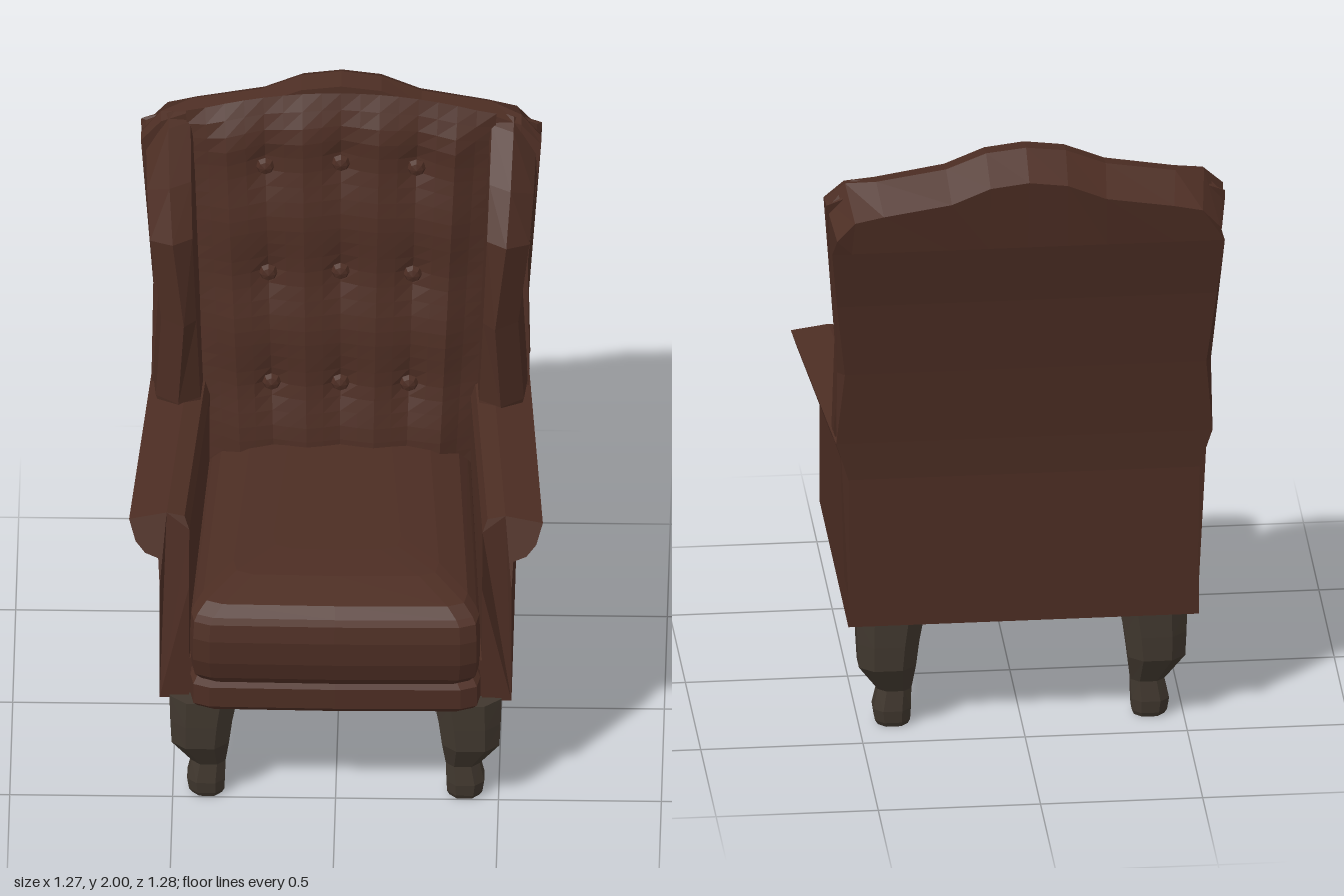
import * as THREE from 'three';

const leather = new THREE.MeshStandardMaterial({ color: 0x4c2d23, flatShading: true });
leather.name = 'brown leather';
const wood = new THREE.MeshStandardMaterial({ color: 0x40372e, flatShading: true });
wood.name = 'dark wood';

// Linear interpolation in a table of [key, value] rows
function lookup(table, k) {
  if (k <= table[0][0]) return table[0][1];
  for (let i = 1; i < table.length; i++) {
    const [a, va] = table[i - 1], [b, vb] = table[i];
    if (k <= b) return va + (vb - va) * (k - a) / (b - a);
  }
  return table[table.length - 1][1];
}

// Closed skin through equal-length rings of [x, y, z], turned outwards by its volume
function loft(rings) {
  const n = rings[0].length, pos = [], tri = (a, b, c) => pos.push(...a, ...b, ...c);
  for (let i = 0; i + 1 < rings.length; i++)
    for (let j = 0; j < n; j++) {
      const k = (j + 1) % n, A = rings[i], B = rings[i + 1];
      tri(A[j], A[k], B[k]);
      tri(A[j], B[k], B[j]);
    }
  const cap = (ring, flip) => {
    const c = [0, 1, 2].map(d => ring.reduce((s, p) => s + p[d], 0) / n);
    for (let j = 0; j < n; j++) {
      const a = ring[j], b = ring[(j + 1) % n];
      flip ? tri(c, b, a) : tri(c, a, b);
    }
  };
  cap(rings[0], true);
  cap(rings[rings.length - 1], false);
  let vol = 0;
  const v = i => new THREE.Vector3().fromArray(pos, i);
  for (let i = 0; i < pos.length; i += 9) vol += v(i).dot(v(i + 3).cross(v(i + 6)));
  if (vol < 0)
    for (let i = 0; i < pos.length; i += 9)
      for (let d = 0; d < 3; d++) [pos[i + 3 + d], pos[i + 6 + d]] = [pos[i + 6 + d], pos[i + 3 + d]];
  const g = new THREE.BufferGeometry();
  g.setAttribute('position', new THREE.Float32BufferAttribute(pos, 3));
  g.computeVertexNormals();
  return g;
}

// Half width of the back by height, and its leaning front plane
const WIDTH = [[0.37, 0.535], [0.86, 0.535], [0.92, 0.57], [1, 0.58], [1.25, 0.557], [1.6, 0.597], [1.82, 0.615]];
const frontZ = y => -0.29 - 0.155 * (y - 0.8);

function backGeometry() {
  const top = [[0, 2], [0.2, 1.985], [0.4, 1.935], [0.75, 1.9], [0.9, 1.88], [1, 1.82]];
  const crest = [[0, -0.53], [0.75, -0.52], [1, -0.45]];
  const front = [[0, -0.46], [0.75, -0.46], [1, -0.42]];
  const us = [-1, -0.9, -0.75, -0.4, -0.2, 0, 0.2, 0.4, 0.75, 0.9, 1];
  return loft(us.map(u => {
    const a = Math.abs(u), t = lookup(top, a);
    const profile = [[0.37, -0.45], [0.87, -0.46], [1, -0.475], [1.25, -0.515], [1.5, -0.56], [1.7, -0.61],
      [t - 0.07, -0.625 - 0.015 * (1 - a * a)], [t, lookup(crest, a)], [t - 0.01, lookup(front, a)],
      [1.4, frontZ(1.4)], [1, frontZ(1)], [0.37, -0.29]];
    return profile.map(([y, z], i) => [u * lookup(WIDTH, y) * (i === 6 ? 0.97 : 1), y, z]);
  }));
}

// Wing: five-sided section swept up the curved front edge
function wingGeometry(s) {
  const levels = [[0.85, -0.17], [1, -0.17], [1.3, -0.15], [1.6, -0.155], [1.74, -0.26], [1.86, -0.41], [1.885, -0.46]];
  return loft(levels.map(([y, zf]) => {
    const w = lookup(WIDTH, y), inner = 0.42 + 0.04 * (y - 0.8), zb = frontZ(y) - 0.06;
    const low = y - lookup([[1.5, 0], [1.88, 0.06]], y);
    return [[s * w, low, zb], [s * (w - 0.015), low, Math.max(zf - 0.05, zb + 0.01)], [s * (w - 0.085), y, zf],
      [s * inner, y, Math.max(zf - 0.04, zb + 0.01)], [s * (inner - 0.01), y, zb]];
  }));
}

// Tufted panel: creases meet at the buttons, puffs swell between them
const arch = (x, y) => y + 0.07 * Math.max(0, (y - 1) / 0.9) * (1 - Math.min(1, (x / 0.42) ** 2));
const spread = y => 0.93 + 0.14 * (y - 0.8);
function tuftGeometry() {
  const cols = 16, rows = 28;
  const g = new THREE.PlaneGeometry(0.86, 1.26, cols, rows);
  const p = g.attributes.position;
  for (let i = 0; i < p.count; i++) {
    const u = p.getX(i) / 0.86 * 0.88, y = p.getY(i) + 1.27;
    const sx = Math.abs(Math.sin(Math.PI * u / 0.22)), sy = Math.abs(Math.sin(Math.PI * (y - 1) / 0.35));
    const fade = Math.min(1, (0.44 - Math.abs(u)) / 0.11, (1.9 - y) / 0.12);
    const puff = 0.055 * Math.sqrt(0.6 * sx * sx + 0.4 * sy * sy) * fade;
    p.setXYZ(i, u * spread(y), arch(u, y), frontZ(y) + 0.008 + puff);
  }
  g.computeVertexNormals();
  return g;
}

// Arm: rolled section extruded to the front, with a raked upper end and a narrower rear
function armGeometry(s) {
  const section = [[0.45, 0.37], [0.54, 0.37], [0.54, 0.78], [0.545, 0.865], [0.585, 0.88], [0.615, 0.915],
    [0.635, 0.98], [0.52, 1], [0.465, 0.99], [0.45, 0.95], [0.45, 0.78]];
  const shape = new THREE.Shape(section.map(([x, y]) => new THREE.Vector2(x, y)));
  const p = new THREE.ExtrudeGeometry(shape, { depth: 1, bevelEnabled: false }).toNonIndexed().attributes.position;
  const pos = [];
  for (let i = 0; i < p.count; i++) {
    // Mirroring swaps two corners of each triangle
    const j = s < 0 ? i - (i % 3) + [0, 2, 1][i % 3] : i;
    const x = p.getX(j), y = p.getY(j), t = p.getZ(j);
    const end = 0.5 - Math.max(0, y - 0.78) * 0.38;
    const narrow = y > 0.87 || x < 0.5 ? 0.06 * (1 - t) : 0;
    pos.push(s * (x - narrow), y, -0.45 + t * (end + 0.45));
  }
  const g = new THREE.BufferGeometry();
  g.setAttribute('position', new THREE.Float32BufferAttribute(pos, 3));
  g.computeVertexNormals();
  return g;
}

// Horizontal outline with cut front corners, used by cushion and rail
const outline = (y, side, front, zMax) => [
  [-0.4 + side, y, -0.35], [0.4 - side, y, -0.35], [0.445 - side, y, zMax - 0.08 - front],
  [0.435 - side, y, zMax - 0.025 - front], [0.385 - side, y, zMax - 0.005 - front], [0, y, zMax - front],
  [-0.385 + side, y, zMax - 0.005 - front], [-0.435 + side, y, zMax - 0.025 - front], [-0.445 + side, y, zMax - 0.08 - front]];

// Cabriole leg: [height, outward x, half x, outward z, half z]
function legGeometry(sx, sz) {
  const levels = [[0.38, 0.405, 0.105, 0.46, 0.09], [0.29, 0.412, 0.095, 0.468, 0.083], [0.21, 0.415, 0.088, 0.472, 0.076],
    [0.12, 0.39, 0.052, 0.452, 0.047], [0.055, 0.398, 0.058, 0.452, 0.055], [0.015, 0.396, 0.054, 0.45, 0.052], [0, 0.395, 0.046, 0.45, 0.045]];
  const ring = [[1, 0.5], [0.5, 1], [-0.5, 1], [-1, 0.5], [-1, -0.5], [-0.5, -1], [0.5, -1], [1, -0.5]];
  const shift = sz < 0 ? -0.11 : 0;
  return loft(levels.map(([y, cx, hx, cz, hz]) =>
    ring.map(([a, b]) => [sx * (cx + a * hx), y, sz * (cz + shift + b * hz)])));
}

export function createModel() {
  const chair = new THREE.Group();
  chair.name = 'wingArmchair';
  const add = (name, geometry, material = leather) => {
    const m = new THREE.Mesh(geometry, material);
    m.name = name;
    chair.add(m);
    return m;
  };

  // Seat frame and front rail
  add('seatFrame', new THREE.BoxGeometry(0.92, 0.14, 0.94)).position.set(0, 0.441, 0.02);
  add('frontRail', loft([[0.39, 0.012, 0.01], [0.405, 0, 0], [0.475, 0, 0], [0.49, 0.012, 0.025]]
    .map(([y, s, f]) => outline(y, s, f, 0.605))));

  // Cushion with a crowned top and a seam ridge
  add('seatCushion', loft([[0.5, 0.025, 0.035], [0.525, 0.005, 0.02], [0.59, 0, 0.002], [0.67, 0, 0], [0.725, 0.003, 0.012],
    [0.737, 0.012, 0.035], [0.765, 0.04, 0.07], [0.795, 0.13, 0.19], [0.803, 0.25, 0.32]]
    .map(([y, s, f]) => outline(y, s, f, 0.643))));

  // Back with tufting and buttons
  add('backrest', backGeometry());
  add('tuftedPanel', tuftGeometry());
  for (const y of [1, 1.35, 1.69])
    for (const u of [-0.22, 0, 0.22]) {
      const b = add('button', new THREE.SphereGeometry(0.03, 8, 4).rotateX(Math.PI / 2));
      b.scale.z = 0.7;
      b.position.set(u * spread(y), arch(u, y), frontZ(y) + 0.022);
    }

  // Paired parts
  for (const s of [1, -1]) {
    const side = s > 0 ? 'left' : 'right';
    add(side + 'Wing', wingGeometry(s));
    add(side + 'Arm', armGeometry(s));
    add(side + 'FrontLeg', legGeometry(s, 1), wood);
    add(side + 'RearLeg', legGeometry(s, -1), wood);
  }
  return chair;
}
